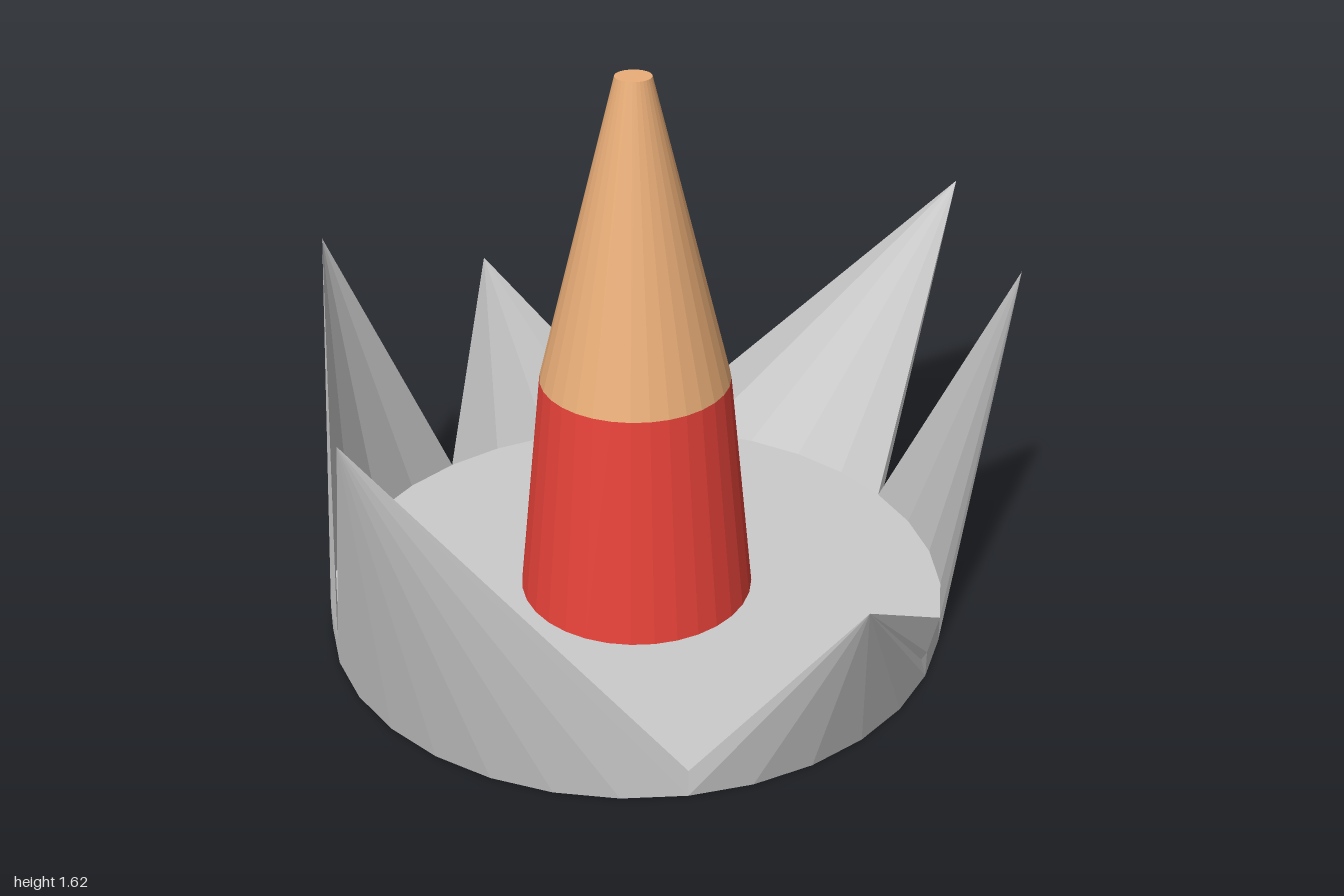
import * as THREE from 'three';

const SIDES = 32, RADIUS = 0.89, BASE_H = 0.08;
const CX = -0.07, CZ = -0.005;

const mat = (color, side = THREE.FrontSide) =>
  new THREE.MeshStandardMaterial({ color, flatShading: true, side });

// Point on the rim of the base, numbered anticlockwise from the front
function rim(k, y) {
  const a = (k / SIDES) * Math.PI * 2;
  return [CX + RADIUS * Math.sin(a), y, CZ + RADIUS * Math.cos(a)];
}

// Thin spike: rim steps a..b drawn up to one tip, outside and inside
function spikeGeometry(a, b, tip) {
  const p = [];
  for (let k = a; k < b; k++) {
    p.push(...rim(k, 0), ...rim(k + 1, 0), ...tip);
    p.push(...rim(k + 1, BASE_H), ...rim(k, BASE_H), ...tip);
  }
  p.push(...rim(a, 0), ...tip, ...rim(a, BASE_H));
  p.push(...rim(b, BASE_H), ...tip, ...rim(b, 0));
  const g = new THREE.BufferGeometry();
  g.setAttribute('position', new THREE.Float32BufferAttribute(p, 3));
  g.computeVertexNormals();
  return g;
}

// Tapered round section standing between two heights
function section(name, rBottom, rTop, y0, y1, material) {
  const m = new THREE.Mesh(new THREE.CylinderGeometry(rTop, rBottom, y1 - y0, SIDES), material);
  m.position.set(CX, (y0 + y1) / 2, CZ);
  m.name = name;
  return m;
}

export function createModel() {
  const model = new THREE.Group();
  model.name = 'spikedBaseWithTower';

  // Round base and two-part tower
  model.add(section('base', RADIUS, RADIUS, 0, BASE_H, mat(0xcccccc)));
  model.add(section('towerBody', 0.337, 0.268, BASE_H, 0.75, mat(0xe8433a)));
  model.add(section('towerCone', 0.268, 0.05, 0.75, 1.625, mat(0xeaae78)));

  // Ring of uneven spikes: first rim step, last rim step, tip.
  // Their walls cross where a tip leans inwards, so both sides show.
  const spikeMat = mat(0xcccccc, THREE.DoubleSide);
  const spikes = new THREE.Group();
  spikes.name = 'spikes';
  [
    [1, 7, [0.54, 0.56, 0.848]],
    [7, 11, [1.0, 1.01, -0.175]],
    [11, 16, [0.9, 0.96, -0.967]],
    [16, 20, [-0.61, 0.67, -0.963]],
    [20, 26, [-1.0, 0.99, -0.375]],
    [26, 33, [-0.7, 1.07, 0.969]],
  ].forEach(([a, b, tip], i) => {
    const m = new THREE.Mesh(spikeGeometry(a, b, tip), spikeMat);
    m.name = `spike${i + 1}`;
    spikes.add(m);
  });
  model.add(spikes);
  return model;
}
